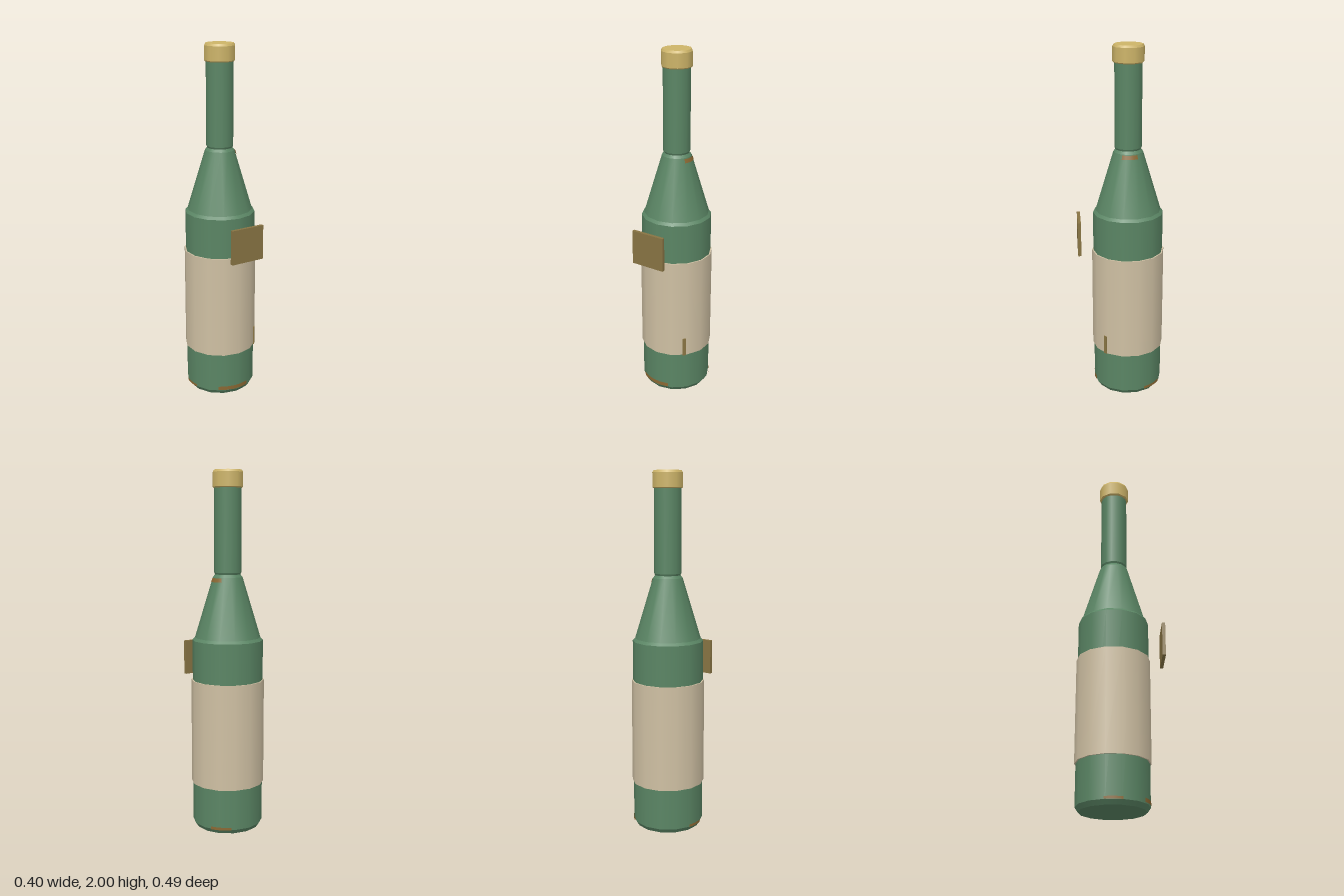
import * as THREE from 'three';

const mat = (name, color, side = THREE.FrontSide) => {
  const m = new THREE.MeshStandardMaterial({ color, side });
  m.name = name;
  return m;
};

export function createModel() {
  const green = mat('green glass', 0x5a8564);
  const paper = mat('tan paper', 0xcfc0a3);
  const gold = mat('gold foil', 0xcdb468);
  const olive = mat('olive brown', 0x887443);
  const rust = mat('rust brown', 0x8a6833, THREE.DoubleSide);

  const model = new THREE.Group();
  model.name = 'bottle';
  const bottle = new THREE.Group();
  bottle.name = 'bottleBody';
  bottle.position.z = -0.042;
  model.add(bottle);

  const add = (parent, name, geometry, material, x = 0, y = 0, z = 0) => {
    const mesh = new THREE.Mesh(geometry, material);
    mesh.name = name;
    mesh.position.set(x, y, z);
    parent.add(mesh);
    return mesh;
  };

  // Stacks frustums along [radius, y] points: smooth around, crisp between bands
  const stack = (name, profile, sides, material) => {
    const group = new THREE.Group();
    group.name = name;
    for (let i = 0; i < profile.length - 1; i++) {
      const [r0, y0] = profile[i], [r1, y1] = profile[i + 1];
      const g = new THREE.CylinderGeometry(r1, r0, y1 - y0, sides, 1, true);
      add(group, name + 'Band', g, material, 0, (y0 + y1) / 2, 0);
    }
    const [rb, yb] = profile[0], [rt, yt] = profile[profile.length - 1];
    add(group, name + 'Bottom', new THREE.CircleGeometry(rb, sides).rotateX(Math.PI / 2).rotateY(Math.PI / 2), material, 0, yb, 0);
    add(group, name + 'Top', new THREE.CircleGeometry(rt, sides).rotateX(-Math.PI / 2).rotateY(Math.PI / 2), material, 0, yt, 0);
    bottle.add(group);
  };

  // Glass, label and cap
  stack('body', [[0.18, 0], [0.197, 0.025], [0.197, 1.07]], 14, green);
  stack('shoulder', [[0.197, 1.07], [0.183, 1.085], [0.082, 1.42], [0.07, 1.435]], 14, green);
  stack('neck', [[0.068, 1.43], [0.075, 1.445], [0.075, 1.91]], 14, green);
  stack('label', [[0.2045, 0.255], [0.2045, 0.845]], 14, paper);
  stack('cap', [[0.081, 1.904], [0.086, 1.91], [0.086, 1.988], [0.079, 2]], 10, gold);

  // Worn marks around the foot and under the neck: [name, bottom r, top r, y, height, centre angle, arc]
  const marks = [
    ['frontFootMark', 0.199, 0.199, 0.041, 0.022, -0.14, 0.95],
    ['sideFootMark', 0.199, 0.199, 0.032, 0.014, -1.57, 0.5],
    ['backFootMark', 0.199, 0.199, 0.032, 0.016, 2.3, 0.6],
    ['shoulderMark', 0.093, 0.086, 1.405, 0.022, 1.6, 1.0],
  ];
  for (const [name, r0, r1, y, h, angle, arc] of marks) {
    add(bottle, name, new THREE.CylinderGeometry(r1, r0, h, 4, 1, true, angle - arc / 2, arc), rust, 0, y, 0);
  }

  // Narrow strip at the lower edge of the label
  const strip = add(bottle, 'labelStrip', new THREE.BoxGeometry(0.02, 0.11, 0.009), olive, 0.147, 0.308, 0.138);
  strip.rotation.y = 0.82;

  // Square plate standing off the front
  add(model, 'frontPlate', new THREE.BoxGeometry(0.2, 0.195, 0.018), olive, 0, 0.943, 0.235);
  return model;
}
